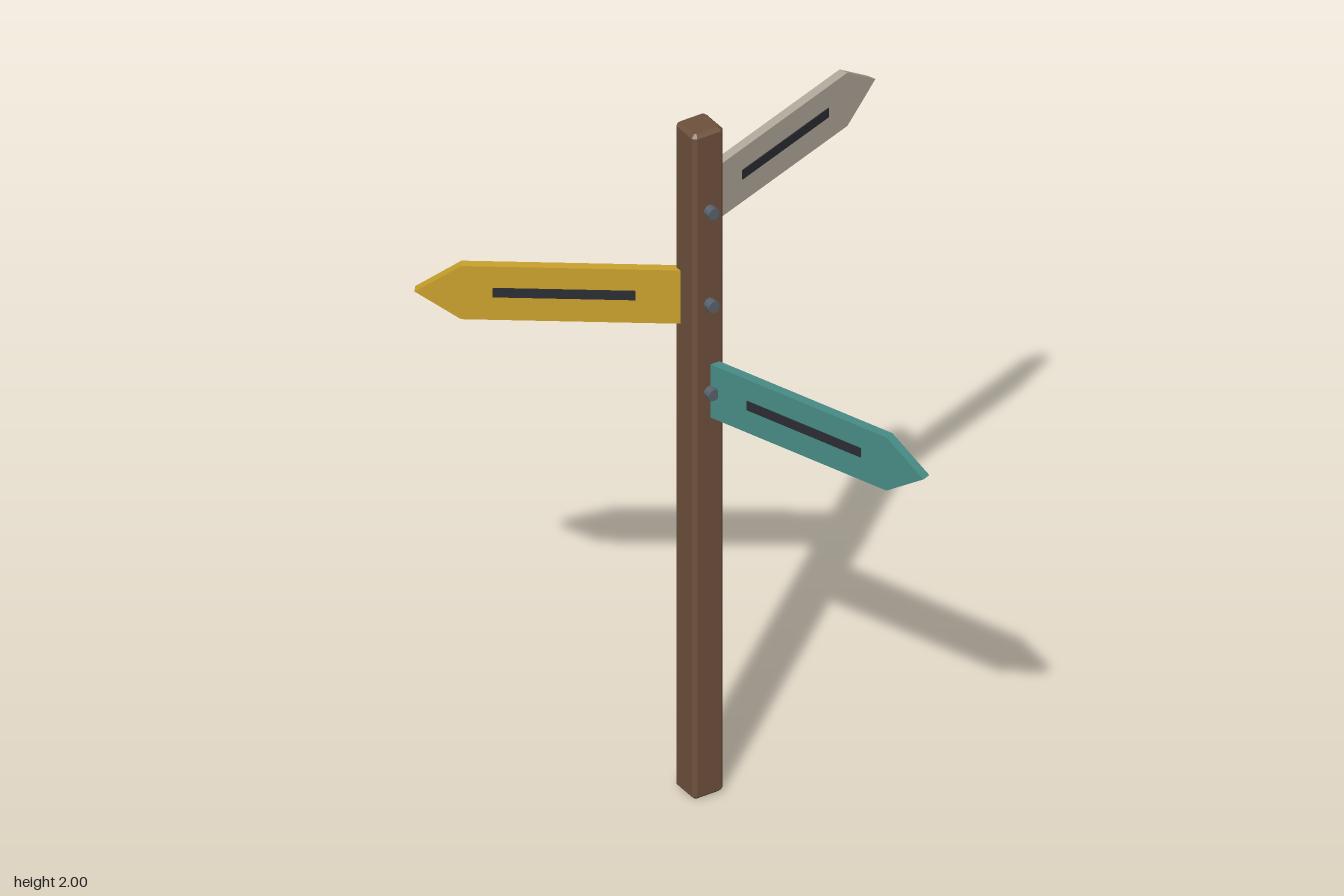
import * as THREE from 'three';

const mat = (name, color) => {
  const m = new THREE.MeshStandardMaterial({ color });
  m.name = name;
  return m;
};

export function createModel() {
  const wood = mat('brown wood', 0x6e503c);
  const beige = mat('beige paint', 0xb5ad9e);
  const yellow = mat('yellow paint', 0xc9a12d);
  const teal = mat('teal paint', 0x488c85);
  const dark = mat('dark strip', 0x2b2d33);
  const steel = mat('bolt steel', 0x59636c);

  const model = new THREE.Group();
  model.name = 'signpost';
  const assembly = new THREE.Group();
  assembly.name = 'postAssembly';
  assembly.position.set(-0.044, 0, -0.129);
  model.add(assembly);

  const add = (parent, name, geometry, material, x = 0, y = 0, z = 0) => {
    const mesh = new THREE.Mesh(geometry, material);
    mesh.name = name;
    mesh.position.set(x, y, z);
    parent.add(mesh);
    return mesh;
  };

  // Square post with chamfered corners and ends
  const half = 0.046, cut = 0.01, inner = half - cut;
  const section = new THREE.Shape();
  section.moveTo(-inner, -half);
  section.lineTo(inner, -half);
  section.lineTo(half, -inner);
  section.lineTo(half, inner);
  section.lineTo(inner, half);
  section.lineTo(-inner, half);
  section.lineTo(-half, inner);
  section.lineTo(-half, -inner);
  section.closePath();
  const postGeometry = new THREE.ExtrudeGeometry(section, {
    depth: 2 - 2 * cut, bevelEnabled: true, bevelSegments: 1,
    bevelThickness: cut, bevelSize: cut, bevelOffset: -cut,
  });
  postGeometry.rotateX(-Math.PI / 2);
  add(assembly, 'post', postGeometry, wood, 0, cut, 0);

  // Pointed board shared by all signs, running out along +x
  const thickness = 0.025;
  const outline = new THREE.Shape();
  outline.moveTo(0.01, -0.08);
  outline.lineTo(0.6, -0.08);
  outline.lineTo(0.717, 0);
  outline.lineTo(0.6, 0.08);
  outline.lineTo(0.01, 0.08);
  outline.closePath();
  const boardGeometry = new THREE.ExtrudeGeometry(outline, { depth: thickness, bevelEnabled: false });
  boardGeometry.translate(0, 0, -thickness / 2);

  const stripGeometry = new THREE.BoxGeometry(0.36, 0.027, 0.004);
  const boltGeometry = new THREE.CylinderGeometry(0.017, 0.017, 0.03, 10);
  boltGeometry.rotateX(Math.PI / 2);

  const signs = [
    ['beigeSign', beige, 1.765, 20],
    ['yellowSign', yellow, 1.485, 145],
    ['tealSign', teal, 1.22, -70],
  ];
  for (const [name, material, y, degrees] of signs) {
    const sign = new THREE.Group();
    sign.name = name;
    sign.position.y = y;
    sign.rotation.y = THREE.MathUtils.degToRad(degrees);
    assembly.add(sign);
    add(sign, 'board', boardGeometry, material);
    // A dark strip on each face
    for (const side of [-1, 1]) {
      add(sign, 'strip', stripGeometry, dark, 0.34, 0.003, side * (thickness / 2 + 0.001));
    }
    // Bolt head on the front of the post
    add(assembly, 'bolt', boltGeometry, steel, 0, y, half + 0.008);
  }
  return model;
}
